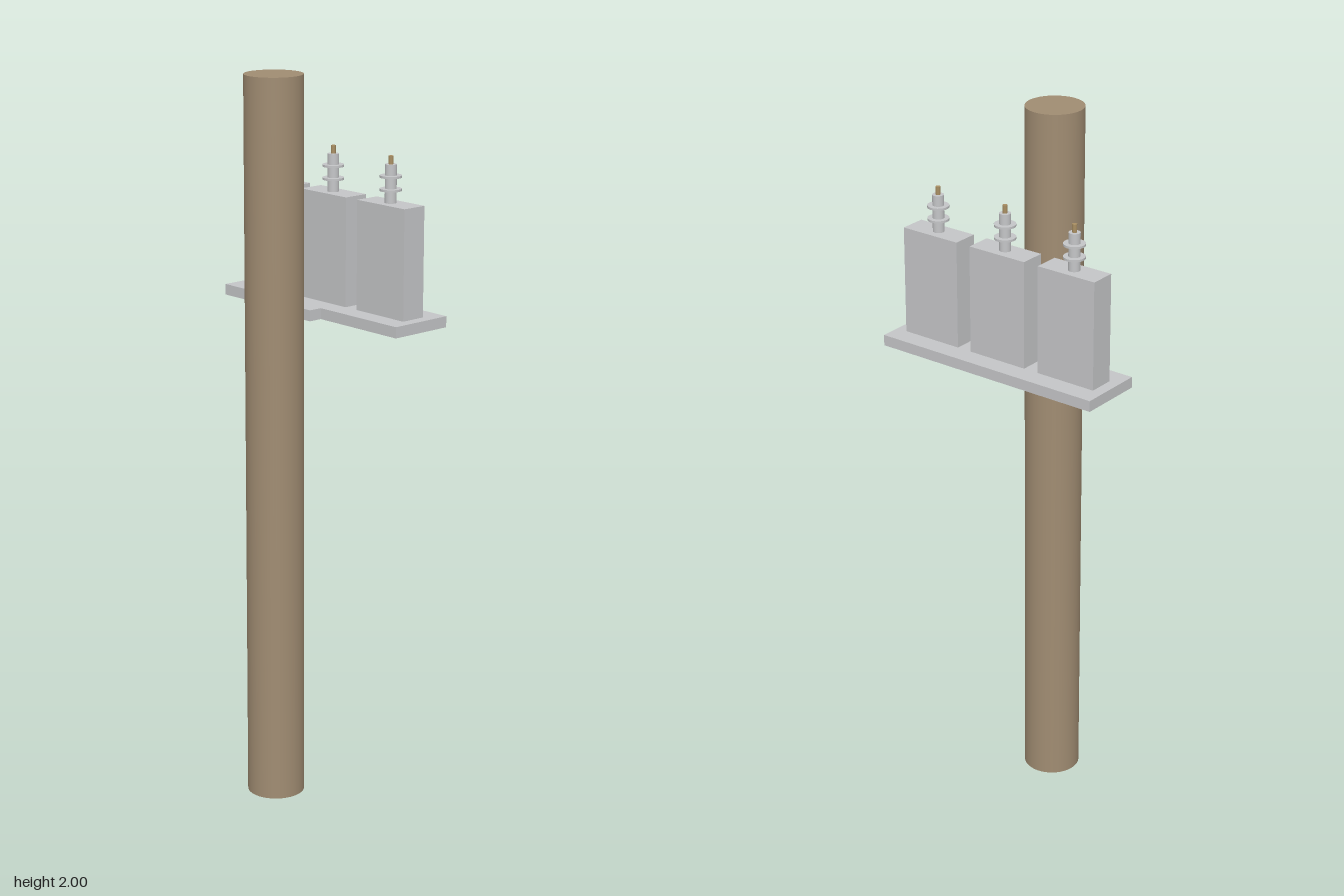
import * as THREE from 'three';

const material = (name, color) => {
  const m = new THREE.MeshStandardMaterial({ color });
  m.name = name;
  return m;
};

export function createModel() {
  const wood = material('wood', 0xa08c72);
  const steel = material('grey steel', 0xc4c5c7);
  const brass = material('brass', 0xa98f63);
  const model = new THREE.Group();
  model.name = 'poleWithCapacitorBank';

  const add = (parent, name, geometry, mat, x, y, z) => {
    const mesh = new THREE.Mesh(geometry, mat);
    mesh.name = name;
    mesh.position.set(x, y, z);
    parent.add(mesh);
  };
  const rod = (r, h, sides = 32) => new THREE.CylinderGeometry(r, r, h, sides);

  // Round wooden pole
  add(model, 'pole', rod(0.0785, 2, 64), wood, 0, 1, 0.1105);

  // Shelf behind the pole and the short arm that joins them
  add(model, 'shelf', new THREE.BoxGeometry(0.682, 0.03, 0.184), steel, 0, 1.355, -0.1);
  add(model, 'bracket', new THREE.BoxGeometry(0.105, 0.03, 0.039), steel, 0, 1.355, 0.0115);

  // Three tanks, each with a finned bushing and a terminal on top
  for (const x of [-0.221, 0, 0.221]) {
    const unit = new THREE.Group();
    unit.name = 'capacitor';
    unit.position.set(x, 1.37, -0.1);
    model.add(unit);
    add(unit, 'tank', new THREE.BoxGeometry(0.178, 0.297, 0.072), steel, 0, 0.1485, 0);
    add(unit, 'bushing', rod(0.0155, 0.102), steel, 0, 0.348, 0);
    for (const y of [0.332, 0.367]) add(unit, 'bushingFin', rod(0.029, 0.006), steel, 0, y, 0);
    add(unit, 'terminal', rod(0.0065, 0.022, 16), brass, 0, 0.41, 0);
  }
  return model;
}
